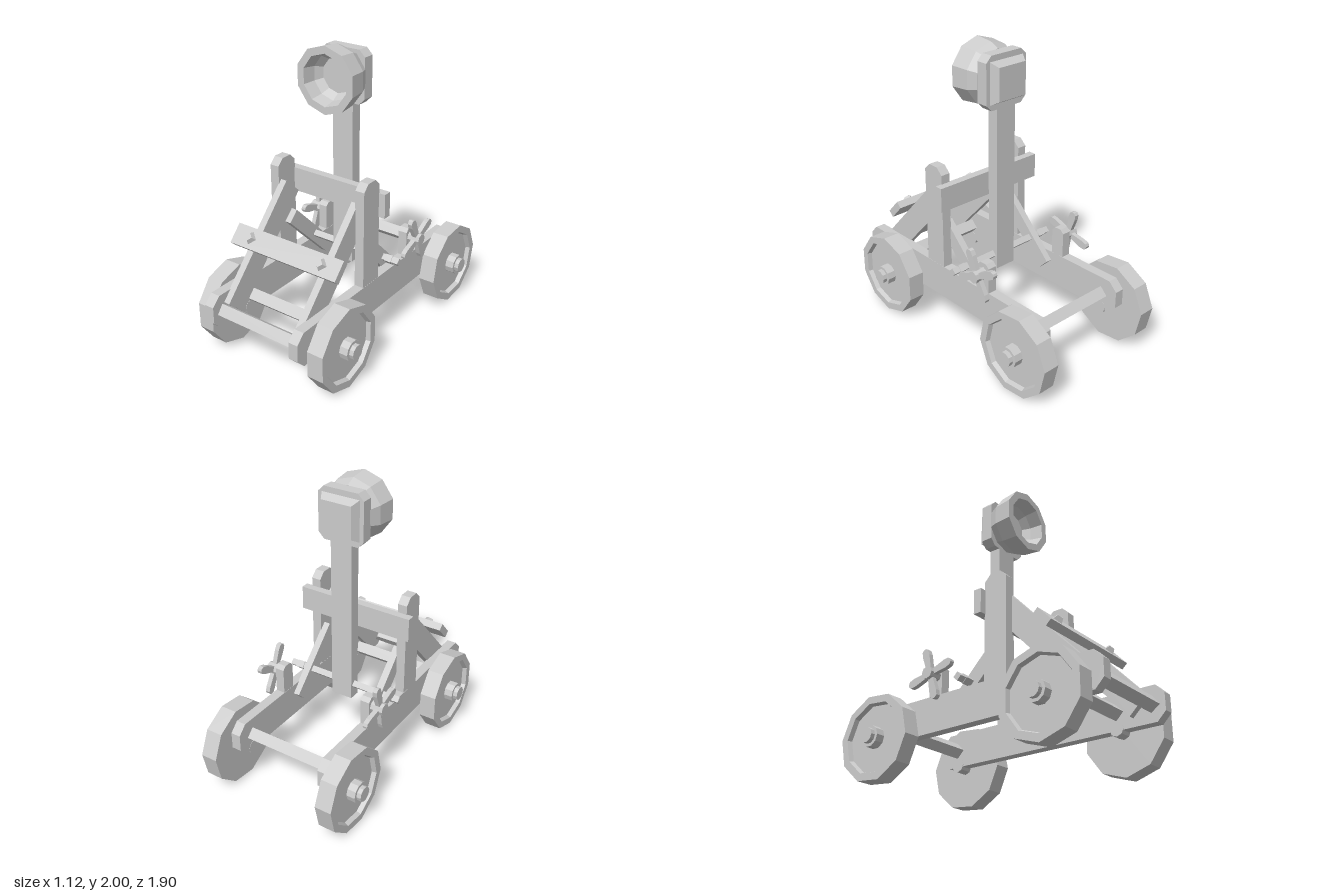
import * as THREE from 'three';

const material = new THREE.MeshStandardMaterial({ color: 0xcccccc, flatShading: true });

export function createModel() {
  const model = new THREE.Group();

  const add = (name, geometry, x = 0, y = 0, z = 0, tilt = 0, parent = model) => {
    const mesh = new THREE.Mesh(geometry, material);
    mesh.name = name;
    mesh.position.set(x, y, z);
    mesh.rotation.x = tilt;
    parent.add(mesh);
    return mesh;
  };

  const polygon = (points) => new THREE.Shape(points.map(([a, b]) => new THREE.Vector2(a, b)));

  // Rectangle outline with cut corners (low = cut at the two lower corners)
  const cutRect = (a0, a1, b0, b1, top, low = 0) => {
    const points = [[a0, b0 + low], [a0 + low, b0], [a1 - low, b0], [a1, b0 + low],
      [a1, b1 - top], [a1 - top, b1], [a0 + top, b1], [a0, b1 - top]];
    return polygon(low ? points : [[a0, b0], [a1, b0], ...points.slice(4)]);
  };

  // Side outline (z, y) extruded along x, centred on x = 0
  const slab = (shape, width) => new THREE.ExtrudeGeometry(shape, { depth: width, bevelEnabled: false })
    .rotateY(-Math.PI / 2).translate(width / 2, 0, 0);

  // Bar along x with a few sides
  const rod = (r, length, sides, r2 = r) =>
    new THREE.CylinderGeometry(r2, r, length, sides).rotateZ(-Math.PI / 2);

  const rail = slab(cutRect(-0.8, 0.95, 0.275, 0.51, 0.06, 0.06), 0.068);
  const upright = slab(cutRect(0.12, 0.285, 0.4, 1.22, 0.045), 0.066);
  const post = slab(cutRect(-0.32, -0.22, 0.45, 0.71, 0.025), 0.064);

  // Wheel: ten-sided rim with a recessed outer face
  const wheelProfile = [[0, 0.385], [0.285, 0.385], [0.285, 0.5], [0.235, 0.5], [0.225, 0.47], [0, 0.47]]
    .map(([r, h]) => new THREE.Vector2(r, h));
  const wheelGeometry = new THREE.LatheGeometry(wheelProfile, 10)
    .rotateZ(-Math.PI / 2).rotateX(Math.PI / 10);

  // Winch handle: four paddles that widen, then end in a cut tip
  const paddle = slab(polygon([[0, -0.016], [0.13, -0.028], [0.165, -0.024], [0.178, -0.008],
    [0.178, 0.008], [0.165, 0.024], [0.13, 0.028], [0, 0.016]]), 0.032);

  const boardTilt = -0.748;
  for (const side of [-1, 1]) {
    const sideName = side > 0 ? 'left' : 'right';
    add(sideName + 'Rail', rail, side * 0.336);
    add(sideName + 'Upright', upright, side * 0.336);
    add(sideName + 'FrontBrace', new THREE.BoxGeometry(0.048, 0.867, 0.166), side * 0.283, 0.705, 0.495, boardTilt);
    add(sideName + 'BackBrace', new THREE.BoxGeometry(0.048, 0.54, 0.1), side * 0.283, 0.6025, 0.0075, Math.PI / 4);

    // Wheels with axle stubs, hubs and caps
    for (const [end, z, turn] of [['Front', 0.61, 0], ['Back', -0.667, -0.22]]) {
      const wheel = new THREE.Group();
      wheel.name = sideName + end + 'Wheel';
      wheel.position.set(0, 0.29, z);
      if (side < 0) wheel.rotation.y = Math.PI;
      add('rim', wheelGeometry, 0, 0, 0, -turn * -side, wheel);
      add('axle', rod(0.05, 0.12, 8), 0.36, 0, 0, 0, wheel);
      add('hub', rod(0.07, 0.075, 10), 0.4925, 0, 0, 0, wheel);
      add('cap', rod(0.05, 0.04, 10), 0.54, 0, 0, 0, wheel);
      model.add(wheel);
    }

    // Winch handle on its post
    add(sideName + 'WinchPost', post, side * 0.336);
    const winch = new THREE.Group();
    winch.name = sideName + 'Winch';
    winch.position.set(side * 0.415, 0.64, -0.27);
    add('hub', rod(0.041, 0.1, 8), -side * 0.01, 0, 0, 0, winch);
    const phase = side > 0 ? 25 : 75;
    for (let i = 0; i < 4; i++) {
      add('paddle', paddle, 0, 0, 0, Math.PI + THREE.MathUtils.degToRad(phase + 90 * i), winch);
    }
    model.add(winch);

    // Bolt heads on the front board
    add(sideName + 'Bolt', new THREE.CylinderGeometry(0.026, 0.042, 0.03, 4).rotateX(Math.PI / 2),
      side * 0.28, 0.81, 0.611, boardTilt);

    // Ends of the pivot rod
    add(sideName + 'PivotEnd', rod(0.034, 0.05, 4), side * 0.355, 0.565, -0.04);
  }

  // Cross bars between the rails
  for (const [name, z, tilt] of [['frontBar', 0.86, 0.15], ['middleBar', 0.61, 0], ['backBar', -0.67, 0]]) {
    add(name, rod(0.053, 0.62, 4), 0, 0.39, z, tilt);
  }
  add('pivotRod', rod(0.029, 0.86, 4), 0, 0.565, -0.04);

  // Planks across the frame
  add('stopPlank', new THREE.BoxGeometry(0.83, 0.165, 0.055), 0, 1.033, 0.0975);
  add('frontBoard', new THREE.BoxGeometry(0.83, 0.138, 0.05), 0, 0.782, 0.582, boardTilt);

  // Throwing arm with its head block
  add('arm', new THREE.BoxGeometry(0.154, 1.2, 0.078), 0, 1.07, -0.04);
  add('headBlock', new THREE.ExtrudeGeometry(cutRect(-0.165, 0.165, -0.175, 0.175, 0.042, 0.042),
    { depth: 0.08, bevelEnabled: false }), 0, 1.777, -0.082);
  const backPad = new THREE.CylinderGeometry(0.137 * Math.SQRT2, 0.108 * Math.SQRT2, 0.054, 4)
    .rotateY(Math.PI / 4).rotateX(Math.PI / 2);
  add('backPad', backPad, 0, 1.777, -0.108);

  // Ten-sided cup opening to the front
  const cupProfile = [[0, -0.01], [0.175, -0.005], [0.205, 0.06], [0.218, 0.185],
    [0.168, 0.185], [0.15, 0.1], [0.115, 0.05], [0, 0.05]].map(([r, h]) => new THREE.Vector2(r, h));
  add('cup', new THREE.LatheGeometry(cupProfile, 10).rotateX(Math.PI / 2), 0, 1.782, 0);

  return model;
}
